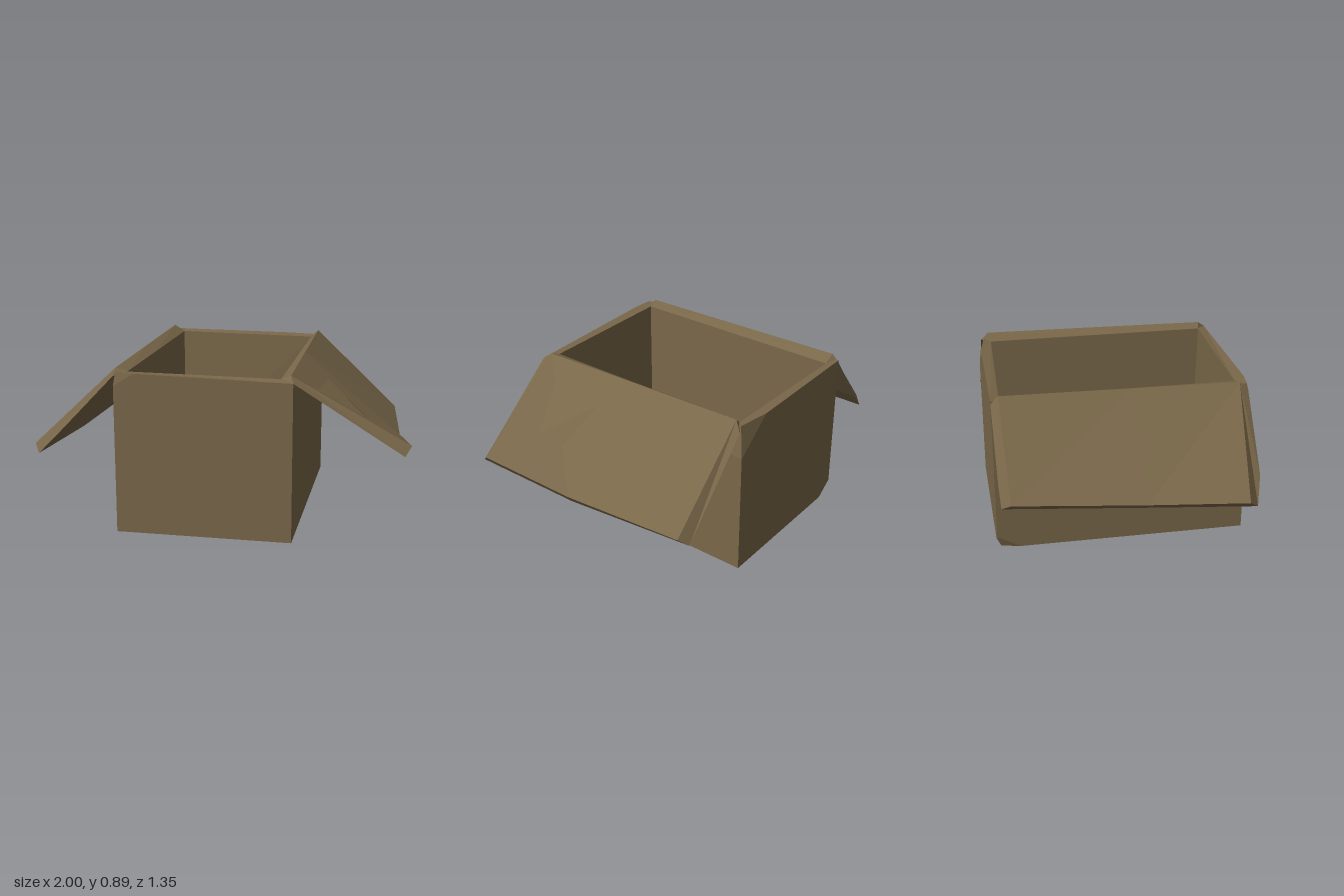
import * as THREE from 'three';

// Thin folded card, visible from both sides
const cardboard = new THREE.MeshStandardMaterial({ color: 0x796749, side: THREE.DoubleSide });
cardboard.name = 'cardboard brown';

// Flat-faced mesh from polygons fanned from their first corner; flip mirrors it across x
function facetMesh(name, polygons, flip = false) {
  const pos = [];
  for (const poly of polygons) {
    for (let i = 1; i < poly.length - 1; i++) {
      const tri = [poly[0], poly[i], poly[i + 1]];
      if (flip) tri.reverse();
      for (const [x, y, z] of tri) pos.push(flip ? -x : x, y, z);
    }
  }
  const geo = new THREE.BufferGeometry();
  geo.setAttribute('position', new THREE.Float32BufferAttribute(pos, 3));
  geo.computeVertexNormals();
  const mesh = new THREE.Mesh(geo, cardboard);
  mesh.name = name;
  return mesh;
}

// Hollow box with two dented top corners and one worn bottom corner
function boxBody() {
  const ring = (x0, x1, z, y) => [[x0, y, z], [x1, y, z], [x1, y, -z], [x0, y, -z]];
  const base = ring(-0.52, 0.41, 0.675, 0);
  const floor = ring(-0.45, 0.335, 0.605, 0.05);
  const inner = [[-0.46, 0.855, 0.612], [0.343, 0.85, 0.622], [0.343, 0.85, -0.608], [-0.46, 0.855, -0.63]];
  const top = [[-0.51, 0.86, 0.662], [0.41, 0.84, 0.675], [0.38, 0.86, -0.645], [-0.52, 0.865, -0.675]];
  const backLow = [0.41, 0.69, -0.675], backHigh = [0.2, 0.86, -0.675];
  const frontLow = [-0.52, 0.79, 0.675], frontHigh = [-0.41, 0.858, 0.675];
  const wornTip = [-0.505, 0.005, -0.655], wornTop = [-0.52, 0.07, -0.675];
  const wornBack = [-0.42, 0, -0.675], wornSide = [-0.52, 0, -0.55];
  const faces = [
    // outer walls
    [base[0], base[1], top[1], frontHigh, frontLow],
    [backLow, top[2], top[1], base[1], base[2]],
    [base[2], wornBack, wornTop, top[3], backHigh, backLow],
    [frontLow, top[0], top[3], wornTop, wornSide, base[0]],
    // dents and worn corner
    [backLow, backHigh, top[2]],
    [frontLow, frontHigh, top[0]],
    [wornTip, wornTop, wornBack],
    [wornTip, wornSide, wornTop],
    // rim
    [inner[0], top[0], frontHigh, top[1], inner[1]],
    [inner[2], top[2], backHigh, top[3], inner[3]],
    [top[1], top[2], inner[2], inner[1]],
    [top[3], top[0], inner[0], inner[3]],
    // underside and floor
    [wornTip, wornBack, base[2], base[1], base[0], wornSide],
    floor,
  ];
  for (let i = 0; i < 4; i++) {
    const j = (i + 1) % 4;
    faces.push([inner[i], inner[j], floor[j], floor[i]]);
  }
  return facetMesh('boxBody', faces);
}

// Folded flap: front, middle and back sections, each running from the ridge
// to the rim's inner edge, the hinge, along the underside and round the outer edge
function flap(name, sections, flip) {
  const [backRidge, ...backRest] = sections[2];
  const faces = [sections[0], [backRidge, ...backRest.reverse()]];
  for (let s = 0; s < 2; s++) {
    const f = sections[s], b = sections[s + 1];
    for (let i = 0; i < f.length; i++) {
      const j = (i + 1) % f.length;
      faces.push([f[i], b[i], f[j]], [b[i], b[j], f[j]]);
    }
  }
  return facetMesh(name, faces, flip);
}

export function createModel() {
  const group = new THREE.Group();
  group.name = 'openBox';
  group.add(boxBody());
  group.add(flap('leftFlap', [
    [[0.393, 0.872, 0.632], [0.343, 0.852, 0.622], [0.411, 0.84, 0.675], [0.97, 0.475, 0.61], [1.0, 0.52, 0.56]],
    [[0.389, 0.881, 0.05], [0.343, 0.852, 0.05], [0.411, 0.84, 0.05], [0.89, 0.393, 0.05], [0.922, 0.438, 0.05]],
    [[0.385, 0.89, -0.62], [0.343, 0.852, -0.608], [0.411, 0.84, -0.66], [0.82, 0.393, -0.66], [0.865, 0.435, -0.62]],
  ], false));
  group.add(flap('rightFlap', [
    [[0.52, 0.875, 0.62], [0.46, 0.857, 0.612], [0.522, 0.84, 0.665], [0.85, 0.5, 0.65], [0.965, 0.388, 0.61], [1.0, 0.43, 0.56]],
    [[0.52, 0.883, 0.05], [0.46, 0.857, 0.05], [0.522, 0.845, 0.05], [0.8, 0.51, 0.05], [0.9, 0.398, 0.05], [0.94, 0.435, 0.05]],
    [[0.52, 0.892, -0.635], [0.46, 0.857, -0.63], [0.522, 0.85, -0.675], [0.77, 0.52, -0.67], [0.845, 0.43, -0.665], [0.885, 0.465, -0.62]],
  ], true));
  return group;
}
